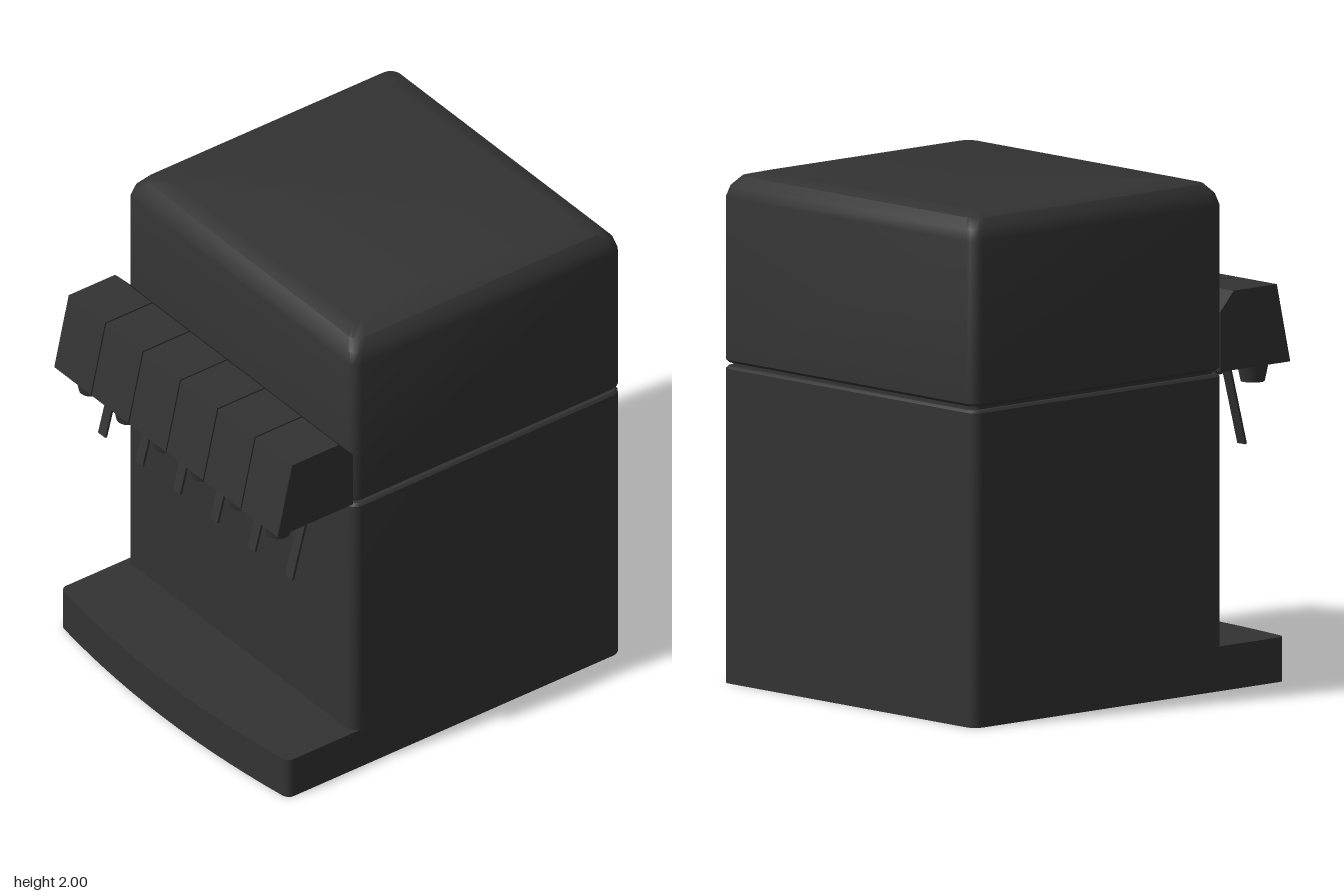
import * as THREE from 'three';
import { toCreasedNormals } from 'three/addons/utils/BufferGeometryUtils.js';

const dark = new THREE.MeshStandardMaterial({ color: 0x333333, side: THREE.DoubleSide });

function add(parent, geometry, name, crease = 0.6) {
  const mesh = new THREE.Mesh(toCreasedNormals(geometry, crease), dark);
  mesh.name = name;
  parent.add(mesh);
  return mesh;
}

// Stacks rounded-rectangle rings, given as [inset, y] pairs, and caps both ends
function loftBox(x0, x1, halfZ, radius, profile) {
  const steps = 4, n = 4 * (steps + 1), pos = [], idx = [];
  const cx = (x0 + x1) / 2, halfX = (x1 - x0) / 2;
  for (const [inset, y] of profile) {
    for (let c = 0; c < 4; c++) {
      const sx = c === 0 || c === 3 ? 1 : -1, sz = c < 2 ? 1 : -1;
      for (let s = 0; s <= steps; s++) {
        const a = (c + s / steps) * Math.PI / 2;
        pos.push(cx + sx * (halfX - inset - radius) + radius * Math.cos(a), y,
          sz * (halfZ - inset - radius) + radius * Math.sin(a));
      }
    }
  }
  for (let r = 0; r < profile.length - 1; r++) {
    for (let i = 0; i < n; i++) {
      const a = r * n + i, b = r * n + (i + 1) % n;
      idx.push(a, a + n, b, b, a + n, b + n);
    }
  }
  const top = (profile.length - 1) * n;
  for (let i = 1; i < n - 1; i++) {
    idx.push(0, i, i + 1, top, top + i + 1, top + i);
  }
  const g = new THREE.BufferGeometry();
  g.setAttribute('position', new THREE.Float32BufferAttribute(pos, 3));
  g.setIndex(idx);
  return g;
}

export function createModel() {
  const model = new THREE.Group();
  model.name = 'drinkDispenser';

  // Cabinet, recessed seam and lid with a soft upper edge
  add(model, loftBox(-0.47, 0.835, 0.725, 0.045,
    [[0, 0], [0, 1.23], [0.008, 1.24], [0.03, 1.24]]), 'cabinet');
  add(model, loftBox(-0.445, 0.81, 0.7, 0.03, [[0, 1.23], [0, 1.27]]), 'seam');
  add(model, loftBox(-0.47, 0.835, 0.725, 0.045,
    [[0.03, 1.255], [0.008, 1.255], [0, 1.265], [0, 1.9], [0.013, 1.945], [0.045, 1.983], [0.11, 2]]), 'lid');

  // Drip tray with a bowed outer edge
  const tray = new THREE.Shape();
  tray.moveTo(-0.4, -0.725);
  tray.lineTo(-0.4, 0.725);
  tray.lineTo(-0.755, 0.725);
  tray.quadraticCurveTo(-0.785, 0.725, -0.79, 0.69);
  tray.quadraticCurveTo(-0.89, 0, -0.79, -0.69);
  tray.quadraticCurveTo(-0.785, -0.725, -0.755, -0.725);
  const trayGeometry = new THREE.ExtrudeGeometry(tray, { depth: 0.175, bevelEnabled: false, curveSegments: 14 });
  trayGeometry.rotateX(-Math.PI / 2);
  add(model, trayGeometry, 'dripTray');

  // Shapes shared by all the valves
  const housing = new THREE.Shape([[-0.46, 1.245], [-0.46, 1.48], [-0.53, 1.555], [-0.755, 1.555], [-0.825, 1.245]]
    .map(([x, y]) => new THREE.Vector2(x, y)));
  const nozzle = [[0.03, 0.06], [0.03, 0], [0.047, 0], [0.065, 0.085]]
    .map(([r, y]) => new THREE.Vector2(r, y));
  const leverLength = Math.hypot(0.085, 0.32);

  // Row of six valves, each with a housing, nozzle and push lever
  for (let i = 0; i < 6; i++) {
    const valve = new THREE.Group();
    valve.name = 'valve' + (i + 1);
    valve.position.z = (i - 2.5) * 0.2385;
    model.add(valve);

    const body = new THREE.ExtrudeGeometry(housing, { depth: 0.232, bevelEnabled: false });
    body.translate(0, 0, -0.116);
    add(valve, body, 'valveHousing', 0.3);

    const spout = add(valve, new THREE.LatheGeometry(nozzle, 20), 'nozzle');
    spout.position.set(-0.735, 1.165, 0);
    const core = add(valve, new THREE.CylinderGeometry(0.03, 0.03, 0.02, 20), 'nozzleCore');
    core.position.set(-0.735, 1.225, 0);

    const lever = add(valve, new THREE.BoxGeometry(0.01, leverLength, 0.045), 'lever');
    lever.position.set(-0.637, 1.087, 0);
    lever.rotation.z = -Math.atan2(0.085, 0.32);
  }
  return model;
}
